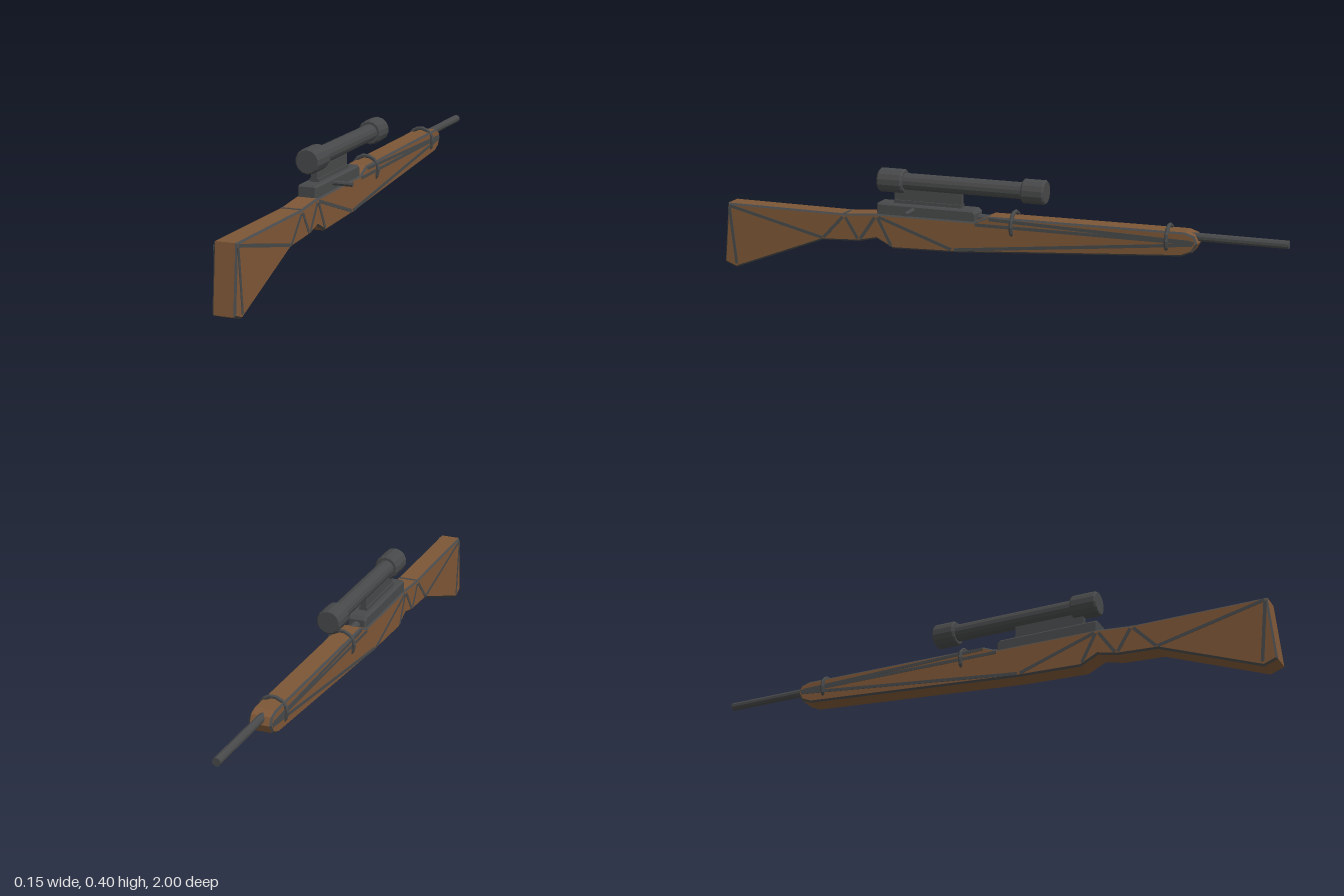
import * as THREE from 'three';

export function createModel() {
  const wood = new THREE.MeshStandardMaterial({ color: 0x7d5636 });
  wood.name = 'wood';
  const metal = new THREE.MeshStandardMaterial({ color: 0x474849 });
  metal.name = 'dark metal';
  wood.flatShading = metal.flatShading = true;

  const CX = -0.025; // centre plane of the long axis
  const HALF = 0.038; // half width of the stock
  const group = new THREE.Group();
  const add = (name, geometry, material, x = 0, y = 0, z = 0) => {
    const mesh = new THREE.Mesh(geometry, material);
    mesh.name = name;
    mesh.position.set(x, y, z);
    group.add(mesh);
    return mesh;
  };

  // Side profile given as [z, y], extruded across x with a small bevel
  const slab = (points, width, bevel) => {
    const shape = new THREE.Shape(points.map(([z, y]) => new THREE.Vector2(z, y)));
    const g = new THREE.ExtrudeGeometry(shape, {
      depth: width - 2 * bevel, bevelEnabled: true, bevelSegments: 1,
      bevelSize: bevel, bevelThickness: bevel, bevelOffset: -bevel,
    });
    g.translate(0, 0, -width / 2 + bevel);
    g.rotateY(-Math.PI / 2);
    return g;
  };

  // Cylinder-like part turned around the z axis, profile as [radius, z]
  const turned = (points, sides) => {
    const g = new THREE.LatheGeometry(points.map(([r, z]) => new THREE.Vector2(r, z)), sides);
    g.rotateX(Math.PI / 2);
    return g;
  };

  // Stock: wooden faces with dark bevelled edging
  const stock = slab([
    [0.98, 0.235], [1.0, 0.02], [0.955, 0.003], [0.615, 0.133], [0.475, 0.14],
    [0.41, 0.155], [0.35, 0.125], [0.13, 0.132], [-0.66, 0.19], [-0.695, 0.205],
    [-0.712, 0.235], [-0.7, 0.26], [-0.67, 0.27], [0.0, 0.266], [0.05, 0.245],
    [0.41, 0.243], [0.53, 0.233],
  ], HALF * 2, 0.006);
  const normals = stock.attributes.normal;
  stock.clearGroups();
  for (let i = 0; i < normals.count; i += 3) {
    const nx = Math.abs(normals.getX(i));
    stock.addGroup(i, 3, nx > 0.3 && nx < 0.95 ? 1 : 0);
  }
  add('stock', stock, [wood, metal], CX);

  // Inlaid strips on both flanks, as [z, y, z, y]
  const strips = [
    [0.974, 0.222, 0.952, 0.018], [0.972, 0.226, 0.615, 0.142],
    [0.61, 0.143, 0.535, 0.222], [0.525, 0.222, 0.48, 0.15],
    [0.47, 0.15, 0.415, 0.23], [0.405, 0.23, 0.355, 0.136],
    [0.4, 0.232, 0.135, 0.142], [0.125, 0.142, -0.695, 0.232],
    [0.05, 0.235, -0.7, 0.237], [0.0, 0.257, -0.69, 0.24],
  ];
  for (const [z1, y1, z2, y2] of strips) {
    for (const side of [-1, 1]) {
      const g = new THREE.BoxGeometry(0.003, 0.011, Math.hypot(z2 - z1, y2 - y1));
      const strip = add('inlayStrip', g, metal, CX + side * HALF, (y1 + y2) / 2, (z1 + z2) / 2);
      strip.rotation.x = -Math.atan2(y2 - y1, z2 - z1);
    }
  }
  add('topStrip', new THREE.BoxGeometry(0.066, 0.004, 0.01), metal, CX, 0.2325, 0.53);

  // Receiver block
  add('receiver', slab([
    [0.41, 0.225], [0.41, 0.276], [0.405, 0.281], [0.06, 0.281], [0.048, 0.27], [0.048, 0.225],
  ], 0.066, 0.006), metal, CX);

  // Side handle
  const handle = new THREE.CylinderGeometry(0.008, 0.008, 0.075, 8);
  handle.rotateZ(Math.PI / 2);
  add('handle', handle, metal, 0.0375, 0.265, 0.275);

  // Barrel
  add('barrel', turned([[0, -1], [0.014, -1], [0.014, 0.06], [0, 0.06]].reverse(), 10).scale(1, 1, 1),
    metal, CX, 0.251).material.side = THREE.DoubleSide;

  // Bands around the fore end
  for (const z of [-0.08, -0.61]) {
    add('band', new THREE.TorusGeometry(0.045, 0.007, 6, 14), metal, CX, 0.238, z);
  }

  // Scope: mount, tube and two chamfered bells in one turned profile
  add('scopeMount', new THREE.BoxGeometry(0.02, 0.06, 0.245), metal, CX, 0.306, 0.23);
  add('scopeMountBase', new THREE.BoxGeometry(0.03, 0.012, 0.245), metal, CX, 0.286, 0.23);
  add('scope', turned([
    [0, -0.19], [0.037, -0.19], [0.042, -0.184], [0.042, -0.116], [0.037, -0.11],
    [0.029, -0.11], [0.029, 0.315], [0.037, 0.315], [0.042, 0.321], [0.042, 0.401],
    [0.037, 0.407], [0, 0.407],
  ], 14), metal, CX, 0.356);

  return group;
}
